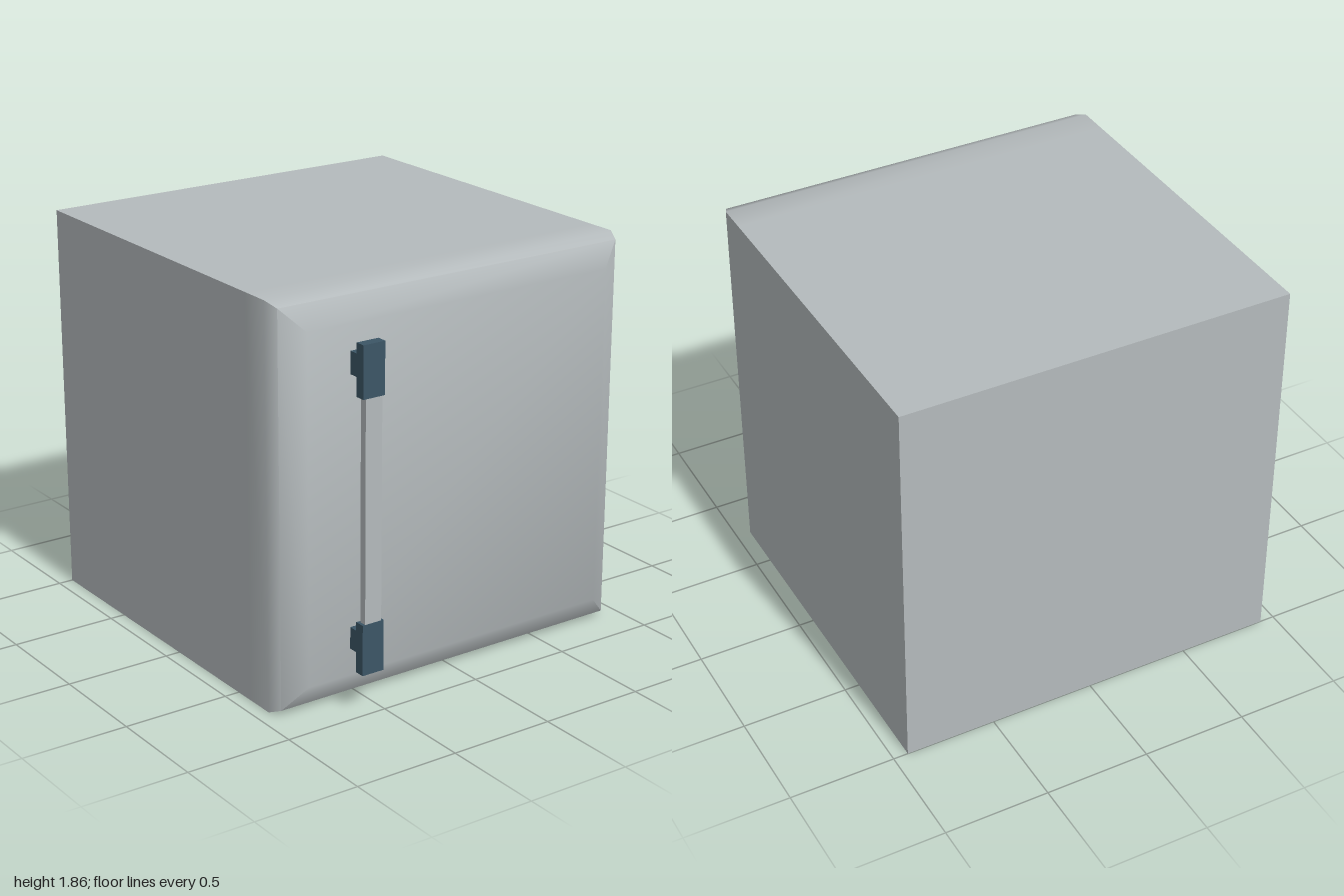
import * as THREE from 'three';
import { toCreasedNormals } from 'three/addons/utils/BufferGeometryUtils.js';

const HALF = 0.93;

// Square cabinet lofted along z, with a softly bevelled front
function cabinetGeometry() {
  const rings = [[-1, 0], [0.6, 0], [0.74, 0], [0.8, 0.025], [0.86, 0.13]]; // [z, inset]
  const corners = [[-1, -1], [1, -1], [1, 1], [-1, 1]];
  const positions = [], index = [];
  for (const [z, inset] of rings) {
    const s = HALF - inset;
    for (const [x, y] of corners) positions.push(x * s, HALF + y * s, z);
  }
  for (let r = 0; r < rings.length - 1; r++) {
    for (let i = 0; i < 4; i++) {
      const a = r * 4 + i, b = r * 4 + (i + 1) % 4;
      index.push(a, b, b + 4, a, b + 4, a + 4);
    }
  }
  const f = (rings.length - 1) * 4;
  index.push(0, 2, 1, 0, 3, 2); // back
  index.push(f, f + 1, f + 2, f, f + 2, f + 3); // front
  const geometry = new THREE.BufferGeometry();
  geometry.setAttribute('position', new THREE.Float32BufferAttribute(positions, 3));
  geometry.setIndex(index);
  return toCreasedNormals(geometry, Math.PI / 4);
}

export function createModel() {
  const enamel = new THREE.MeshStandardMaterial({ name: 'greyEnamel', color: 0xb4babc });
  const dark = new THREE.MeshStandardMaterial({ name: 'darkBlueGrey', color: 0x3c5666 });
  const model = new THREE.Group();
  model.name = 'cabinet';

  const body = new THREE.Mesh(cabinetGeometry(), enamel);
  body.name = 'body';
  model.add(body);

  const handle = new THREE.Group();
  handle.name = 'handle';
  model.add(handle);

  // Box given by its lower and upper limits on each axis
  function addBox(name, material, [x0, x1], [y0, y1], [z0, z1]) {
    const mesh = new THREE.Mesh(new THREE.BoxGeometry(x1 - x0, y1 - y0, z1 - z0), material);
    mesh.position.set((x0 + x1) / 2, (y0 + y1) / 2, (z0 + z1) / 2);
    mesh.name = name;
    handle.add(mesh);
  }

  // Grip bar held by two brackets on short posts
  addBox('gripBar', enamel, [-0.604, -0.52], [0.42, 1.45], [0.963, 0.998]);
  for (const [side, y] of [['lower', 0.307], ['upper', 1.56]]) {
    addBox(side + 'Bracket', dark, [-0.618, -0.508], [y - 0.118, y + 0.118], [0.952, 1]);
    addBox(side + 'Post', dark, [-0.584, -0.541], [y - 0.051, y + 0.051], [0.85, 0.952]);
  }
  return model;
}
